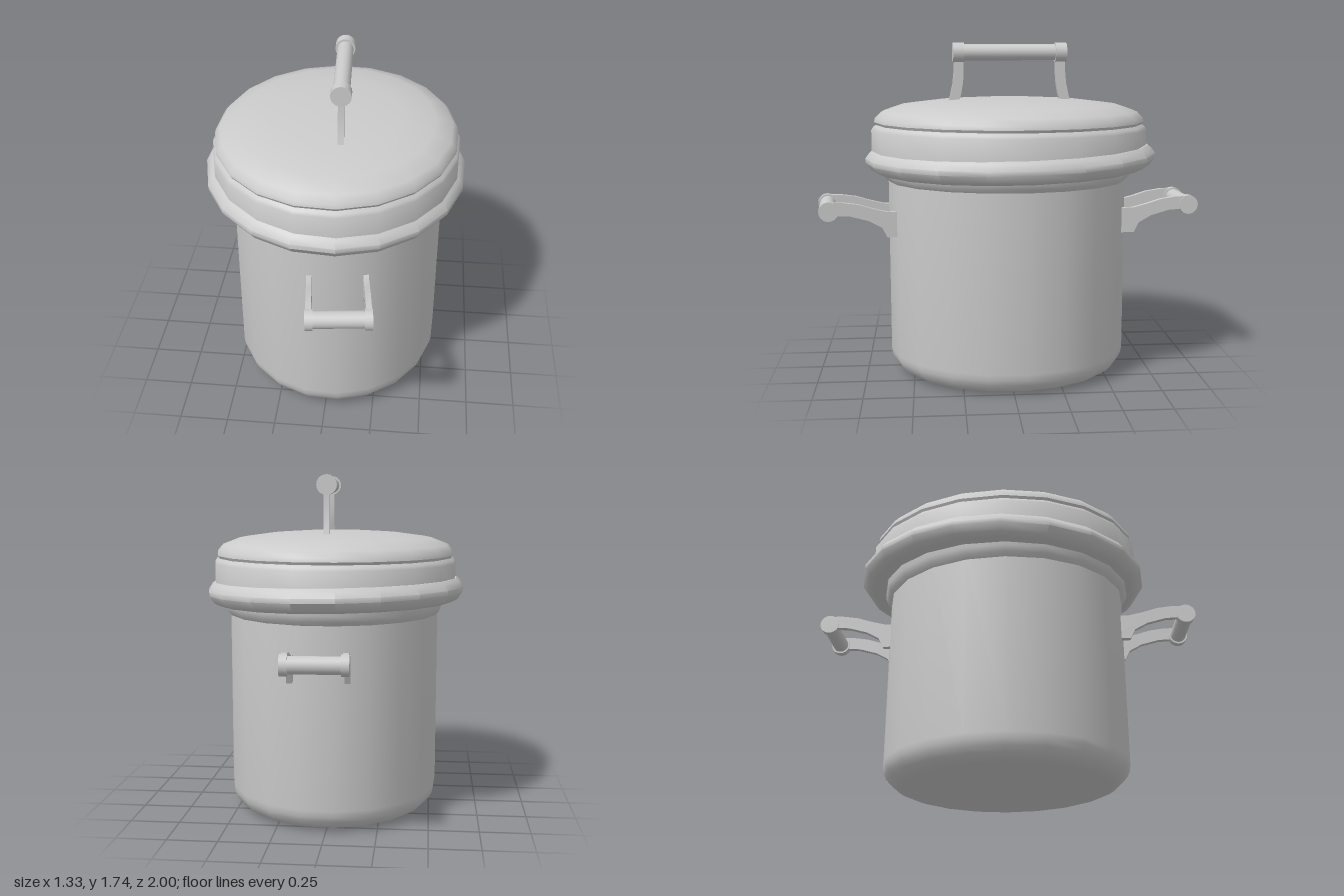
import * as THREE from 'three';
import { toCreasedNormals } from 'three/addons/utils/BufferGeometryUtils.js';

const grey = new THREE.MeshStandardMaterial({ color: 0xcccccc });
const OVAL = 1.14; // depth of the oval body relative to its width

function addMesh(parent, name, geometry) {
  const mesh = new THREE.Mesh(geometry, grey);
  mesh.name = name;
  parent.add(mesh);
  return mesh;
}

// Oval turned body from [radius, height] pairs
function ovalLathe(profile) {
  const points = profile.map(([r, y]) => new THREE.Vector2(r, y));
  const geometry = new THREE.LatheGeometry(points, 20, 0.1);
  geometry.scale(1, 1, OVAL);
  return toCreasedNormals(geometry, 0.65);
}

// Flat bracket: outline in (z, y), extruded along x and centred at x
function bracket(outline, x, thickness) {
  const shape = new THREE.Shape(outline.map(([z, y]) => new THREE.Vector2(z, y)));
  const geometry = new THREE.ExtrudeGeometry(shape, { depth: thickness, bevelEnabled: false });
  geometry.rotateY(-Math.PI / 2);
  geometry.translate(x + thickness / 2, 0, 0);
  return toCreasedNormals(geometry, 0.5);
}

// Round grip along x with a thicker cap at each end
function grip(length, capWidth, capRadius) {
  const group = new THREE.Group();
  group.name = 'grip';
  const rod = (name, radius, len, x) => {
    const geometry = new THREE.CylinderGeometry(radius, radius, len, 20);
    geometry.rotateZ(Math.PI / 2);
    addMesh(group, name, geometry).position.x = x;
  };
  rod('gripBar', 0.041, length - capWidth, 0);
  for (const side of [-1, 1]) rod('gripCap', capRadius, capWidth, side * (length - capWidth) / 2);
  return group;
}

// Side handle reaching out along +z
function sideHandle(name) {
  const group = new THREE.Group();
  group.name = name;
  const outline = [
    [0.58, 0.76], [0.647, 0.76], [0.672, 0.81], [0.738, 0.847], [0.834, 0.874], [0.93, 0.88],
    [0.93, 0.945], [0.87, 0.944], [0.79, 0.932], [0.72, 0.91], [0.64, 0.89], [0.58, 0.89],
  ];
  for (const side of [-1, 1]) addMesh(group, 'handleBracket', bracket(outline, side * 0.138, 0.027));
  const bar = grip(0.31, 0.037, 0.05);
  bar.position.set(0, 0.9, 0.94);
  group.add(bar);
  return group;
}

// Lid handle with its grip along z
function lidHandle() {
  const group = new THREE.Group();
  group.name = 'lidHandle';
  const outline = [
    [0.27, 1.42], [0.325, 1.42], [0.31, 1.47], [0.297, 1.53], [0.29, 1.6],
    [0.288, 1.68], [0.24, 1.68], [0.24, 1.6], [0.243, 1.54], [0.253, 1.48],
  ];
  for (const turn of [0, Math.PI]) {
    addMesh(group, 'lidHandleLeg', bracket(outline, 0, 0.03)).rotation.y = turn;
  }
  const bar = grip(0.59, 0.058, 0.051);
  bar.rotation.y = Math.PI / 2;
  bar.position.y = 1.69;
  group.add(bar);
  return group;
}

export function createModel() {
  const model = new THREE.Group();
  model.name = 'cookingPot';

  // Pot: rounded foot, straight wall, flared lip and inner wall
  const potProfile = [[0, 0.005]];
  for (let i = 0; i <= 6; i++) {
    const a = (i / 6) * Math.PI / 2;
    potProfile.push([0.428 + 0.12 * Math.sin(a), 0.125 - 0.12 * Math.cos(a)]);
  }
  potProfile.push([0.548, 1.03], [0.565, 1.05], [0.576, 1.08], [0.58, 1.16], [0.555, 1.16],
    [0.515, 1.03], [0.515, 0.12], [0.43, 0.04], [0, 0.04]);
  addMesh(model, 'potBody', ovalLathe(potProfile)).position.x = 0.012;

  // Bulging lid rim, sitting slightly askew
  const rim = addMesh(model, 'lidRim', ovalLathe([
    [0.54, -0.03], [0.56, -0.058], [0.615, -0.06], [0.645, -0.045], [0.67, -0.008],
    [0.67, 0.015], [0.65, 0.045], [0.636, 0.058], [0.54, 0.06], [0.54, -0.03],
  ]));
  rim.position.set(0, 1.147, -0.02);
  rim.rotation.set(0.018, 0, -0.018);

  // Lid: upright band, groove and shallow dome, closed below
  const lid = addMesh(model, 'lid', ovalLathe([
    [0, 1.165], [0.633, 1.165], [0.633, 1.295], [0.625, 1.31], [0.613, 1.322], [0.62, 1.335],
    [0.616, 1.355], [0.59, 1.386], [0.5, 1.421], [0.34, 1.443], [0.17, 1.454], [0, 1.457],
  ]));
  lid.position.set(0.004, 0, -0.012);

  // Handles
  const top = lidHandle();
  top.position.set(0.036, 0, -0.012);
  top.rotation.y = 0.05;
  model.add(top);

  const front = sideHandle('frontHandle');
  front.rotation.y = 0.11;
  model.add(front);

  const back = sideHandle('backHandle');
  back.position.x = 0.062;
  back.rotation.y = Math.PI + 0.055;
  model.add(back);

  return model;
}
